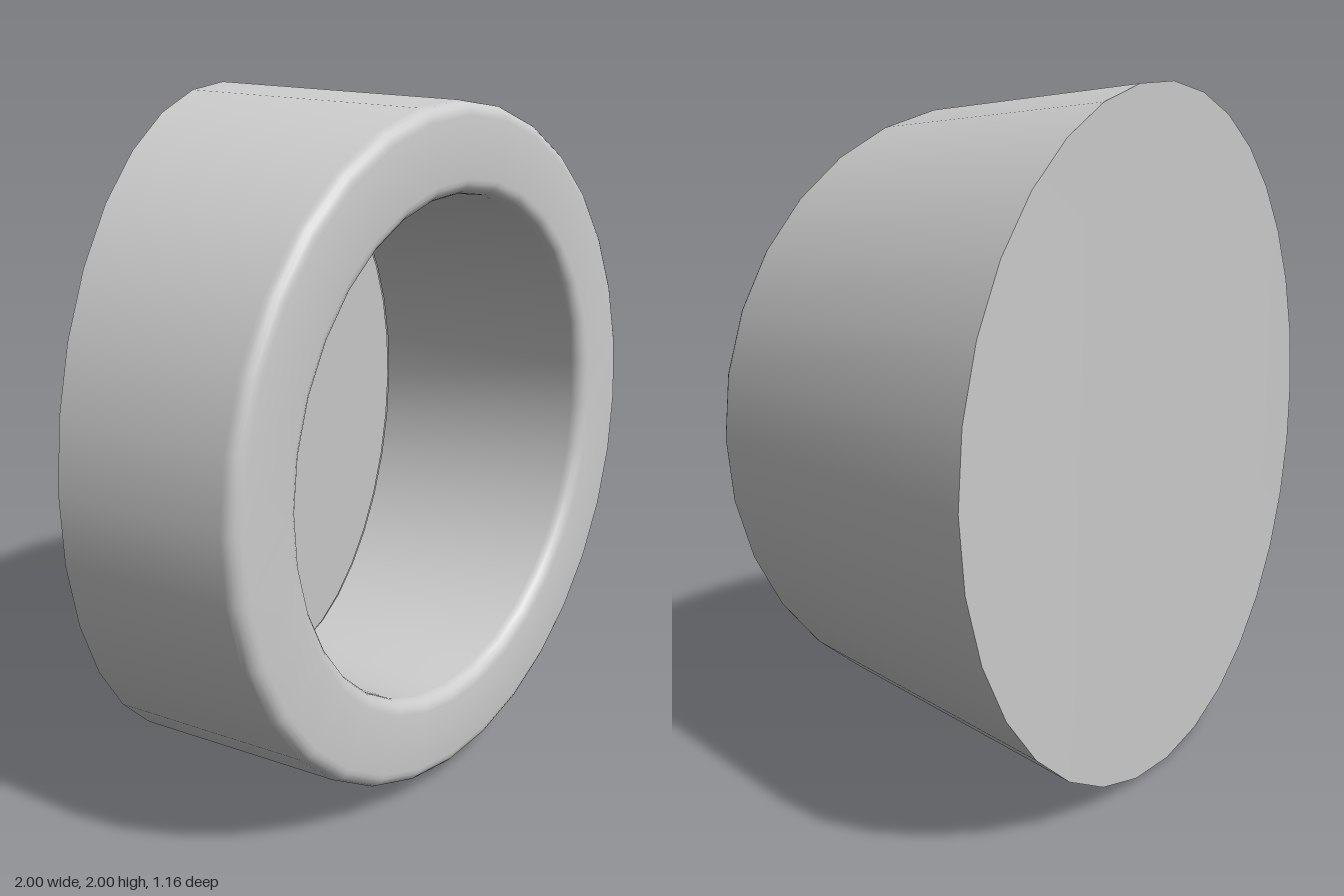
import * as THREE from 'three';
import { toCreasedNormals } from 'three/addons/utils/BufferGeometryUtils.js';

const SEGMENTS = 32;
const CENTRE_X = -0.015;
const FRONT = 0.575;
const HOLE = 0.71;
const FLOOR_THICKNESS = 0.32;
const BACK = -10; // marks a profile height measured from the slanted back

// Slanted, very slightly bowed back surface
const backZ = (x) => -0.305 - 0.3 * x + 0.025 * x * x;
// Outer wall widens gently towards the back
const wallRadius = (z) => 0.984 - 0.054 * z;

// Turn a profile of [radius, z] about the z axis, then fit marked rings to the slant
function turned(name, profile, taperedRim = false) {
  const points = profile.map(([r, z]) => new THREE.Vector2(r, z));
  const geometry = new THREE.LatheGeometry(points, SEGMENTS);
  geometry.rotateX(Math.PI / 2);
  const p = geometry.attributes.position;
  for (let i = 0; i < p.count; i++) {
    let x = p.getX(i), y = p.getY(i), z = p.getZ(i);
    if (z < BACK / 2) {
      let scale = 1;
      if (taperedRim) {
        for (let k = 0; k < 3; k++) scale = wallRadius(backZ(x * scale + CENTRE_X));
      }
      x *= scale;
      y *= scale;
      z = backZ(x + CENTRE_X) + z - BACK;
    }
    p.setXYZ(i, x + CENTRE_X, y + 1, z);
  }
  const mesh = new THREE.Mesh(
    toCreasedNormals(geometry, 0.6),
    new THREE.MeshStandardMaterial({ color: 0xcccccc })
  );
  mesh.name = name;
  return mesh;
}

// Quarter-round corner between two angles
function corner(r, z, radius, from, to) {
  return Array.from({ length: 6 }, (_, i) => {
    const a = from + ((to - from) * i) / 5;
    return [r + radius * Math.cos(a), z + radius * Math.sin(a)];
  });
}

export function createModel() {
  const group = new THREE.Group();
  group.name = 'slantedCup';
  const fillet = 0.04;
  const steps = [0, 0.2, 0.4, 0.6, 0.8, 1];

  // Outer wall, rounded front rim and recess wall
  group.add(turned('ringWall', [
    [1, BACK],
    ...corner(wallRadius(FRONT - fillet) - fillet, FRONT - fillet, fillet, 0, Math.PI / 2),
    ...corner(HOLE + fillet, FRONT - fillet, fillet, Math.PI / 2, Math.PI),
    [HOLE, BACK + FLOOR_THICKNESS],
  ], true));

  // Closed slanted back
  group.add(turned('backPanel', steps.map((t) => [t, BACK]), true));

  // Recess floor, parallel to the back
  group.add(turned('recessFloor',
    steps.map((t) => [HOLE * t, BACK + FLOOR_THICKNESS]).reverse()));

  return group;
}
